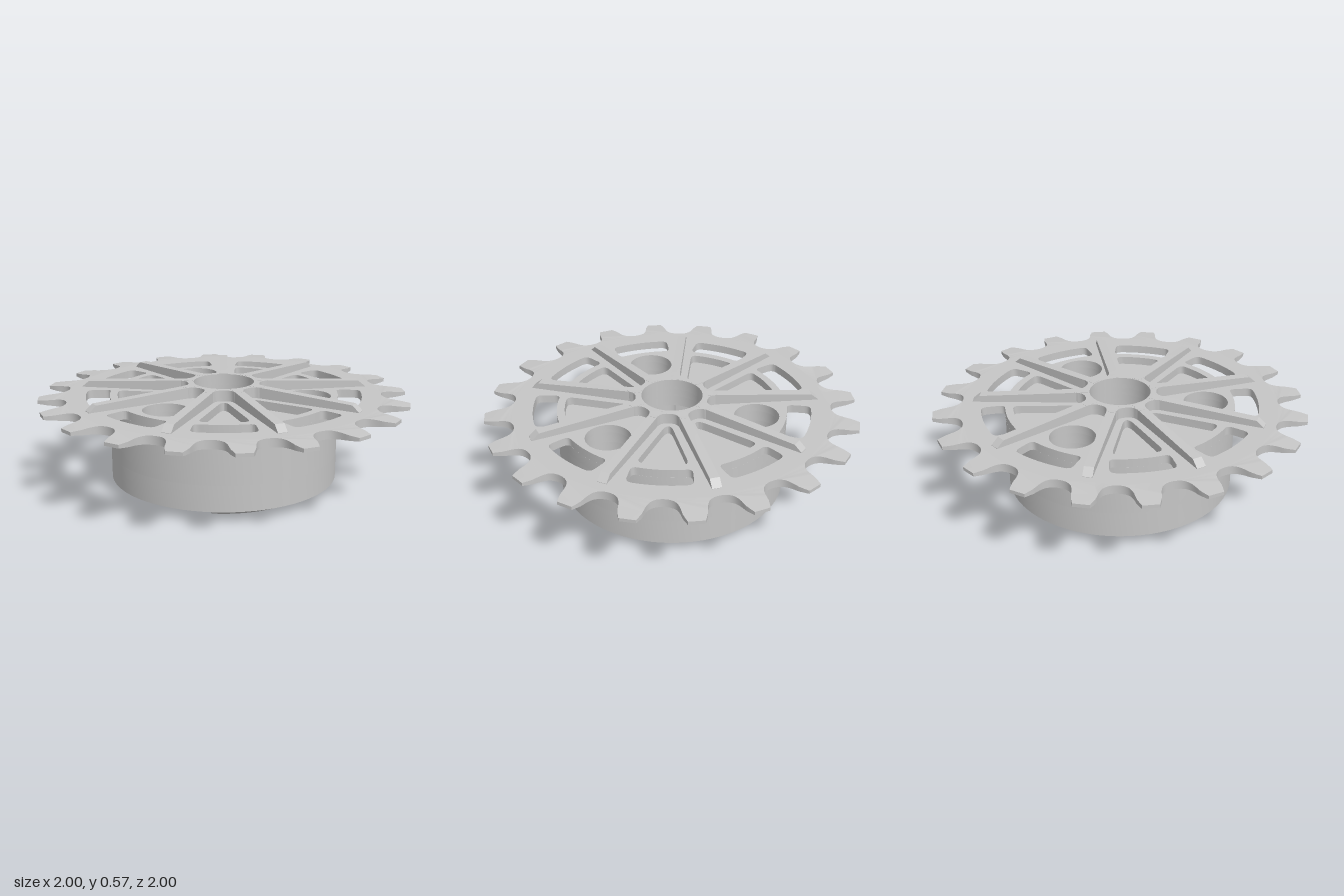
import * as THREE from 'three';
import { toCreasedNormals } from 'three/addons/utils/BufferGeometryUtils.js';

const RAD = Math.PI / 180;
const BOLTS = [60, 180, 300], BOLT_R = 0.465, DRUM_R = 0.622;

// Polar point; angle in degrees from the back (-z) towards +x
const P = (r, a) => new THREE.Vector2(r * Math.sin(a * RAD), r * Math.cos(a * RAD));

const circle = (r, c = new THREE.Vector2(), n = 72) =>
  Array.from({ length: n }, (_, i) => P(r, (i * 360) / n).add(c));

// Closed outline with every corner softened
function rounded(pts, d) {
  const path = new THREE.Path();
  pts.forEach((p, i) => {
    const cut = (q) => p.clone().lerp(q, Math.min(0.5, d / p.distanceTo(q)));
    const a = cut(pts[(i + pts.length - 1) % pts.length]);
    const b = cut(pts[(i + 1) % pts.length]);
    if (i) path.lineTo(a.x, a.y);
    else path.moveTo(a.x, a.y);
    path.quadraticCurveTo(p.x, p.y, b.x, b.y);
  });
  return path.getPoints(5);
}

// Flat slab between two heights; outlines run clockwise, so holes are reversed
function slab(outline, holes, y0, y1) {
  const shape = new THREE.Shape(outline);
  shape.holes = holes.map((h) => new THREE.Path([...h].reverse()));
  const g = new THREE.ExtrudeGeometry(shape, { depth: y1 - y0, bevelEnabled: false });
  return g.rotateX(-Math.PI / 2).translate(0, y0, 0);
}

// Arc of points at one radius
const arc = (r, a0, a1, n) =>
  Array.from({ length: n + 1 }, (_, i) => P(r, a0 + ((a1 - a0) * i) / n));

// Tooth outline: round gullets flaring out to blunt tips
function toothOutline(count) {
  const half = [[0.117, 1.0], [0.093, 0.955], [0.081, 0.915], [0.063, 0.88], [0.035, 0.861]];
  const gullet = [...half.map(([x, y]) => [-x, y]), [0, 0.855], ...[...half].reverse()];
  const curve = new THREE.SplineCurve(gullet.map(([x, y]) => new THREE.Vector2(x, y))).getPoints(20);
  const pts = [], origin = new THREE.Vector2();
  for (let i = 0; i < count; i++)
    pts.push(...curve.map((p) => p.clone().rotateAround(origin, (-i * 2 * Math.PI) / count)));
  return pts;
}

// Drum cavity: a circle with three bolt bosses bulging inward
function cavityOutline() {
  const R = 0.51, b = 0.14, half = Math.asin(b / BOLT_R) / RAD, pts = [];
  BOLTS.forEach((a) => {
    for (let k = -10; k <= 10; k++) {
      const f = Math.sin((k / 10) * Math.PI / 2) * half;
      const s = BOLT_R * Math.sin(f * RAD);
      const r = BOLT_R * Math.cos(f * RAD) - Math.sqrt(Math.max(0, b * b - s * s));
      pts.push(P(r, a + f));
    }
    pts.push(...arc(R, a + half + 0.5, a + 120 - half - 0.5, 24));
  });
  return pts;
}

export function createModel() {
  const root = new THREE.Group();
  root.name = 'sprocket';
  const metal = new THREE.MeshStandardMaterial({ color: 0xc6c6c6 });
  metal.name = 'grey metal';

  const add = (name, geometry, parent = root) => {
    const mesh = new THREE.Mesh(toCreasedNormals(geometry, 0.5), metal);
    mesh.name = name;
    parent.add(mesh);
    return mesh;
  };
  const group = (name) => {
    const g = new THREE.Group();
    g.name = name;
    root.add(g);
    return g;
  };

  const bore = circle(0.165);
  const boltHoles = (r) => BOLTS.map((a) => circle(r, P(BOLT_R, a), 36));

  // Face plate with nine windows and six triangular pockets
  const windows = [], pockets = [], hub = [];
  for (let i = 0; i < 9; i++) {
    const a = 20 + i * 40;
    windows.push(rounded([...arc(0.75, a - 12.8, a + 12.8, 5), ...arc(DRUM_R, a + 14, a - 14, 5)], 0.035));
    if (!BOLTS.includes(a))
      pockets.push(rounded([...arc(0.58, a - 13.1, a + 13.1, 4), P(0.225, a + 4), P(0.225, a - 4)], 0.045));
    hub.push(P(0.25, a - 14.3), P(0.2, a - 11), P(0.2, a + 11), P(0.25, a + 14.3));
  }
  const seam = circle(0.84, undefined, 100);
  add('facePlate', slab(seam, [bore, ...boltHoles(0.12), ...windows, ...pockets], 0.47, 0.515));

  // Toothed rim, thinning towards the tips
  const rim = slab(toothOutline(20), [seam], 0.47, 0.515);
  const pos = rim.attributes.position;
  for (let i = 0; i < pos.count; i++) {
    const t = THREE.MathUtils.clamp((Math.hypot(pos.getX(i), pos.getZ(i)) - 0.86) / 0.146, 0, 1);
    pos.setY(i, 0.4925 + (pos.getY(i) - 0.4925) * (1 - 0.6 * t));
  }
  add('toothedRim', rim);

  // Raised hub collar filleted into nine sloping ribs
  add('hubCollar', slab(rounded(hub, 0.04), [bore], 0.51, 0.574));
  const ribs = group('ribs');
  const profile = new THREE.Shape(
    [[0.172, 0.5], [0.8, 0.5], [0.8, 0.517], [0.76, 0.55], [0.2, 0.575], [0.172, 0.575]]
      .map(([x, y]) => new THREE.Vector2(x, y)));
  for (let i = 0; i < 9; i++) {
    const g = new THREE.ExtrudeGeometry(profile, { depth: 0.05, bevelEnabled: false });
    add('rib', g.translate(0, 0, -0.025), ribs).rotation.y = Math.PI / 2 - i * 40 * RAD;
  }

  // Hollow drum: closed floor, then walls with stepped bolt holes
  const drum = group('drum'), cavity = cavityOutline(), wall = circle(DRUM_R);
  add('drumFloor', slab(wall, [bore, ...boltHoles(0.12)], 0.41, 0.47), drum);
  add('drumUpperWall', slab(wall, [cavity, ...boltHoles(0.12)], 0.2, 0.41), drum);
  add('drumLowerWall', slab(wall, [cavity, ...boltHoles(0.075)], 0.06, 0.2), drum);

  // Three curved clips lining the cavity, chamfered where they stand proud below
  const clips = group('clips');
  for (const a of [0, 120, 240]) {
    const outline = [...arc(0.512, a - 27.5, a + 27.5, 16), ...arc(0.46, a + 27.5, a - 27.5, 16)];
    add('clip', slab(outline, [], 0.015, 0.41), clips);
    const foot = slab(outline, [], 0, 0.015), p = foot.attributes.position;
    for (let i = 0; i < p.count; i++)
      if (p.getY(i) < 0.005 && Math.hypot(p.getX(i), p.getZ(i)) > 0.49)
        p.setXYZ(i, p.getX(i) * 0.97, p.getY(i), p.getZ(i) * 0.97);
    add('clipFoot', foot, clips);
  }

  return root;
}
